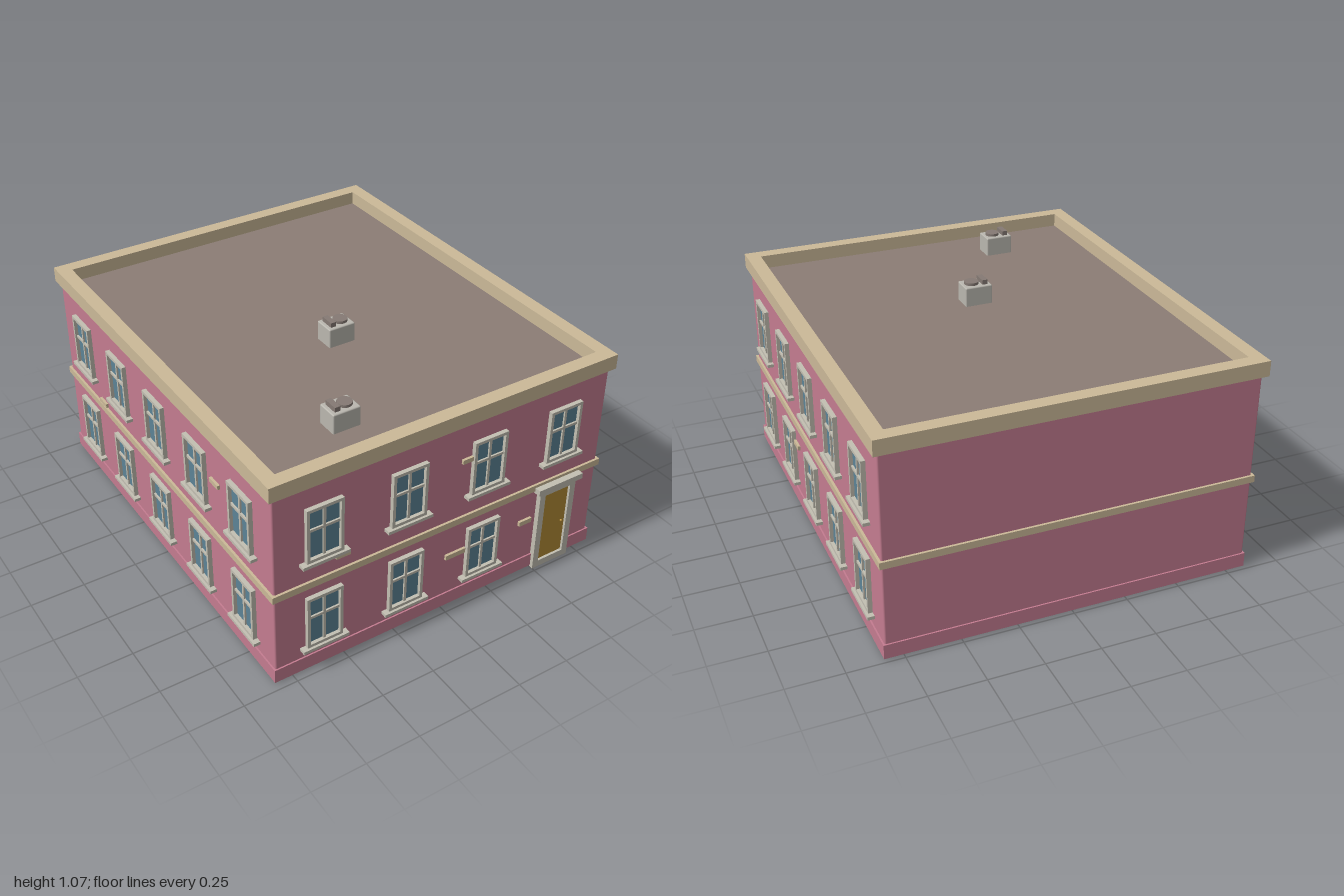
import * as THREE from 'three';
import { RoundedBoxGeometry } from 'three/addons/geometries/RoundedBoxGeometry.js';

const mat = (name, color) => {
  const m = new THREE.MeshStandardMaterial({ color });
  m.name = name;
  return m;
};

export function createModel() {
  const pink = mat('pink wall', 0xc47c90);
  const sand = mat('sand trim', 0xcbb998);
  const roofBrown = mat('roof brown', 0x8c7d75);
  const stone = mat('pale stone', 0xc3bfb2);
  const glass = mat('blue glass', 0x5c8396);
  const gold = mat('door gold', 0xb28b36);
  const metal = mat('vent metal', 0xbab7af);
  const grille = mat('vent grille', 0x857a74);

  const CZ = -0.01, HX = 0.83, HZ = 0.97; // wall centre and half sizes
  const building = new THREE.Group();
  building.name = 'building';

  const add = (parent, name, geometry, material, x = 0, y = 0, z = 0) => {
    const mesh = new THREE.Mesh(geometry, material);
    mesh.name = name;
    mesh.position.set(x, y, z);
    parent.add(mesh);
    return mesh;
  };
  // box given by its lower and upper corners
  const block = (parent, name, material, x0, x1, y0, y1, z0, z1) =>
    add(parent, name, new THREE.BoxGeometry(x1 - x0, y1 - y0, z1 - z0), material,
      (x0 + x1) / 2, (y0 + y1) / 2, (z0 + z1) / 2);
  const rect = (path, x0, x1, y0, y1) => {
    path.moveTo(x0, y0);
    path.lineTo(x1, y0);
    path.lineTo(x1, y1);
    path.lineTo(x0, y1);
    path.closePath();
    return path;
  };
  // flat rectangular ring, extruded along z
  const ring = (w, h, t, depth) => {
    const shape = rect(new THREE.Shape(), -w / 2, w / 2, -h / 2, h / 2);
    shape.holes.push(rect(new THREE.Path(), -w / 2 + t, w / 2 - t, -h / 2 + t, h / 2 - t));
    return new THREE.ExtrudeGeometry(shape, { depth, bevelEnabled: false });
  };
  const around = (name, material, out, y0, y1) =>
    block(building, name, material, -HX - out, HX + out, y0, y1, CZ - HZ - out, CZ + HZ + out);

  // Shell: walls, plinth, floor band, roof deck and parapet
  add(building, 'walls', new RoundedBoxGeometry(HX * 2, 0.93, HZ * 2, 2, 0.008), pink, 0, 0.487, CZ);
  around('plinth', pink, 0.007, 0.008, 0.075);
  around('floorBand', sand, 0.011, 0.443, 0.475);
  block(building, 'roofDeck', roofBrown, -0.79, 0.79, 0.945, 0.958, CZ - 0.93, CZ + 0.93);
  const parapet = add(building, 'parapet', ring(1.7, 1.98, 0.065, 0.07), sand, 0, 0.951, CZ);
  parapet.rotation.x = -Math.PI / 2;

  // Sash window, facing +z with its back on the wall
  const frameGeometry = ring(0.17, 0.262, 0.014, 0.02);
  const makeWindow = () => {
    const g = new THREE.Group();
    g.name = 'window';
    add(g, 'windowFrame', frameGeometry, stone);
    block(g, 'windowGlass', glass, -0.073, 0.073, -0.119, 0.119, 0, 0.004);
    block(g, 'verticalBar', stone, -0.006, 0.006, -0.119, 0.119, 0.002, 0.012);
    block(g, 'horizontalBar', stone, -0.073, 0.073, 0.015, 0.027, 0.002, 0.012);
    block(g, 'windowSill', stone, -0.11, 0.11, -0.146, -0.131, 0, 0.031);
    return g;
  };

  // One group per wall, local z = 0 on the wall face
  const makeWall = (name, x, z, turn) => {
    const g = new THREE.Group();
    g.name = name;
    g.position.set(x, 0, z);
    g.rotation.y = turn;
    building.add(g);
    return g;
  };
  const front = makeWall('frontWall', 0, CZ + HZ, 0);
  const left = makeWall('leftWall', HX, CZ, Math.PI / 2);
  const right = makeWall('rightWall', -HX, CZ, -Math.PI / 2);
  const addWindow = (wall, x, y) => {
    const w = makeWindow();
    w.position.set(x, y, 0);
    wall.add(w);
  };
  for (const y of [0.263, 0.713]) {
    for (const x of [-0.602, -0.202, 0.199, 0.6]) {
      if (x < 0.5 || y > 0.5) addWindow(front, x, y);
    }
    for (let i = -2; i <= 2; i++) {
      addWindow(left, i * 0.371, y);
      addWindow(right, i * 0.371, y);
    }
  }

  // Scattered exposed bricks: wall, x0, x1, y0, y1
  for (const [wall, x0, x1, y0, y1] of [
    [front, -0.547, -0.48, 0.535, 0.556],
    [front, 0.062, 0.125, 0.755, 0.776],
    [front, 0.006, 0.108, 0.27, 0.294],
    [front, 0.405, 0.472, 0.277, 0.3],
    [left, -0.287, -0.215, 0.329, 0.35],
    [left, -0.4, -0.335, 0.358, 0.376],
    [right, 0.495, 0.565, 0.73, 0.75],
    [right, -0.61, -0.54, 0.482, 0.502],
  ]) block(wall, 'exposedBrick', sand, x0, x1, y0, y1, 0, 0.012);

  // Front door with posts, head, threshold and lintel
  const door = new THREE.Group();
  door.name = 'frontDoor';
  front.add(door);
  for (const x of [0.5, 0.67]) block(door, 'doorPost', stone, x, x + 0.03, 0, 0.435, 0, 0.024);
  block(door, 'doorHead', stone, 0.53, 0.67, 0.405, 0.435, 0, 0.024);
  block(door, 'threshold', stone, 0.53, 0.67, 0, 0.033, 0, 0.024);
  block(door, 'doorLeaf', gold, 0.53, 0.67, 0.033, 0.405, 0, 0.012);
  block(door, 'lintel', stone, 0.477, 0.721, 0.433, 0.461, 0, 0.04);
  add(door, 'doorKnob', new THREE.SphereGeometry(0.006, 10, 8), gold, 0.65, 0.21, 0.016);

  // Rooftop vent units with a round fan and a slot grille
  for (const [x, z] of [[-0.357, 0.7], [-0.025, 0.157]]) {
    const unit = new THREE.Group();
    unit.name = 'roofVent';
    unit.position.set(x, 0, z);
    building.add(unit);
    add(unit, 'ventBox', new RoundedBoxGeometry(0.13, 0.095, 0.1, 1, 0.006), metal, 0, 1.0, 0);
    add(unit, 'ventFan', new THREE.CylinderGeometry(0.033, 0.033, 0.02, 20), grille, 0.019, 1.05, 0);
    block(unit, 'ventSlot', grille, -0.048, -0.022, 1.04, 1.069, -0.034, 0.034);
  }
  return building;
}
